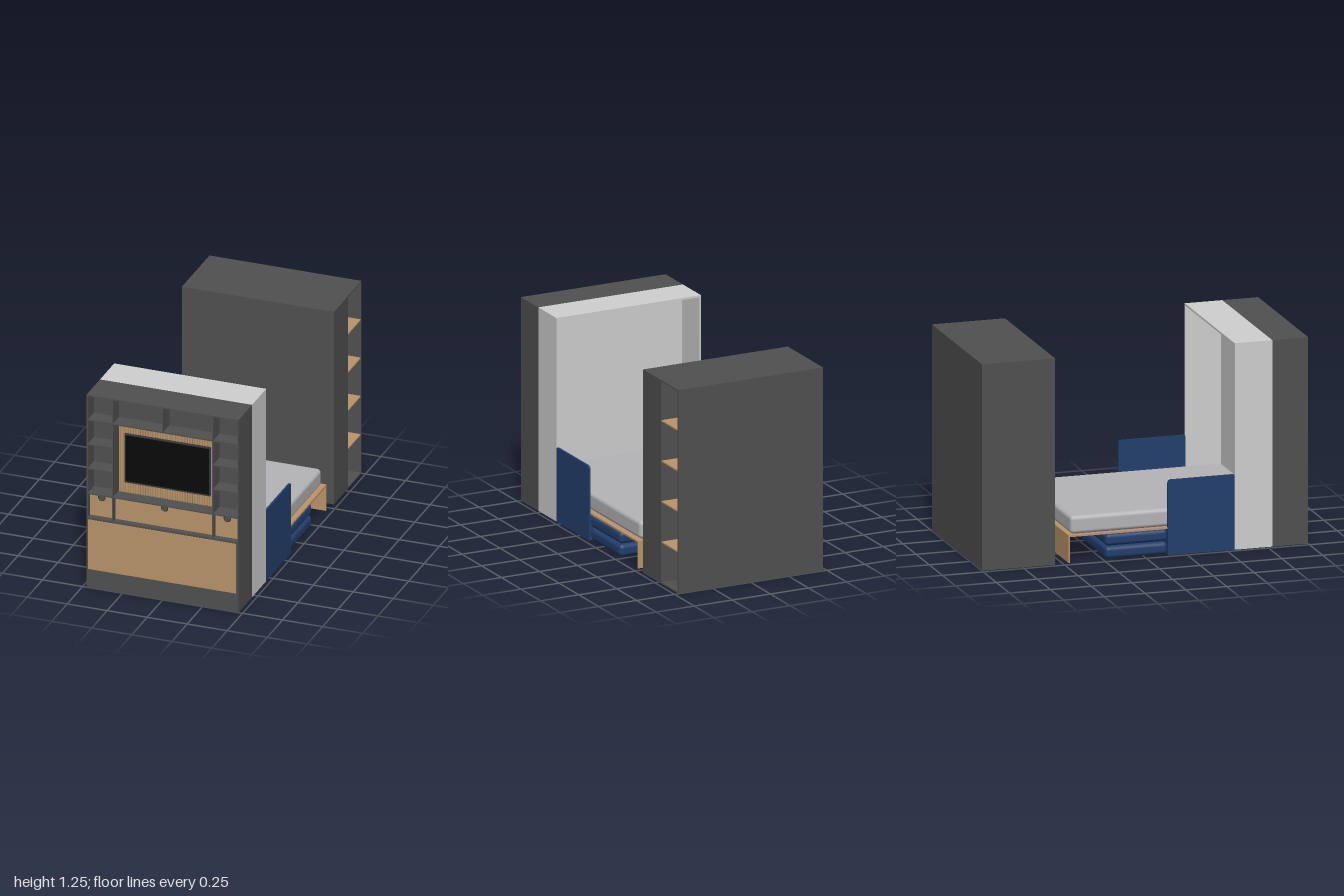
import * as THREE from 'three';
import { RoundedBoxGeometry } from 'three/addons/geometries/RoundedBoxGeometry.js';

const mat = (name, color) => Object.assign(new THREE.MeshStandardMaterial({ color }), { name });

export function createModel() {
  const charcoal = mat('charcoal', 0x505050);
  const paleGrey = mat('pale grey', 0xcfcfcf);
  const wood = mat('oak', 0xba946a);
  const blue = mat('navy fabric', 0x233f6d);
  const linen = mat('mattress grey', 0xb4b4b7);
  const screenBlack = mat('screen black', 0x0a0a0a);
  const frameGrey = mat('frame grey', 0x38393b);

  const model = new THREE.Group();
  const group = (name) => {
    const g = new THREE.Group();
    g.name = name;
    model.add(g);
    return g;
  };
  // Box given by its limits; a radius rounds its edges
  const box = (parent, name, material, [x0, x1], [y0, y1], [z0, z1], radius = 0) => {
    const size = [x1 - x0, y1 - y0, z1 - z0];
    const geo = radius ? new RoundedBoxGeometry(...size, 4, radius) : new THREE.BoxGeometry(...size);
    const mesh = new THREE.Mesh(geo, material);
    mesh.name = name;
    mesh.position.set((x0 + x1) / 2, (y0 + y1) / 2, (z0 + z1) / 2);
    parent.add(mesh);
    return mesh;
  };

  const W = 0.475, H = 1.247, T = 0.008;

  // Media wall: solid core with a grid of boards in front
  const wall = group('mediaWall');
  const backZ = 0.9, recess = [backZ, 1];
  box(wall, 'wallCore', charcoal, [-W, W], [0, H], [0.78, backZ]);
  box(wall, 'wallBase', charcoal, [-W, W], [0, 0.447], [backZ, 0.996]);
  box(wall, 'wallPlinth', charcoal, [-W, W], [0, 0.118], [0.996, 1]);
  box(wall, 'wallTop', charcoal, [-W, W], [H - T, H], recess);
  for (const s of [-1, 1]) {
    const span = (a, b) => (s > 0 ? [a, b] : [-b, -a]);
    box(wall, 'wallSide', charcoal, span(W - T, W), [0.118, H - T], recess);
    box(wall, 'wallDivider', charcoal, span(0.309, 0.317), [0.447, H - T], recess);
    for (const y of [0.77, 0.927])
      box(wall, 'sideShelf', charcoal, span(0.317, W - T), [y - 0.004, y + 0.004], recess);
  }
  for (const y of [0.451, 0.609, 1.084])
    box(wall, 'longShelf', charcoal, [-W + T, W - T], [y - 0.004, y + 0.004], recess);
  box(wall, 'topDivider', charcoal, [-0.004, 0.004], [1.088, H - T], recess);

  // Fold-down desk front
  box(wall, 'deskPanel', wood, [-0.465, 0.458], [0.12, 0.44], [0.99, 0.9995]);

  // Wooden niche backs with round spot lamps
  for (const [x, w] of [[-0.392, 0.15], [0, 0.618], [0.392, 0.15]]) {
    box(wall, 'nicheBack', wood, [x - w / 2, x + w / 2], [0.455, 0.605], [backZ, 0.962]);
    const lamp = new THREE.Mesh(new THREE.CylinderGeometry(0.02, 0.02, 0.008, 32), charcoal);
    lamp.name = 'spotLamp';
    lamp.rotation.x = Math.PI / 2;
    lamp.position.set(x, 0.58, 0.964);
    const rim = new THREE.Mesh(new THREE.TorusGeometry(0.02, 0.003, 8, 32), frameGrey);
    rim.name = 'spotLampRim';
    rim.position.set(x, 0.58, 0.967);
    wall.add(lamp, rim);
  }

  // Slatted panel behind the television
  box(wall, 'slatBacking', wood, [-0.309, 0.309], [0.613, 1.08], [backZ, 0.904]);
  const slats = 40, pitch = 0.618 / slats;
  for (let i = 0; i < slats; i++) {
    const x = -0.309 + (i + 0.5) * pitch;
    box(wall, 'slat', wood, [x - pitch * 0.34, x + pitch * 0.34], [0.613, 1.08], [0.904, 0.914]);
  }

  // Television
  const tv = group('television');
  const [l, r, b, t] = [-0.266, 0.27, 0.685, 0.998];
  const e = 0.007, tz = [0.912, 0.93];
  box(tv, 'screen', screenBlack, [l + e, r - e], [b + e, t - e], [0.912, 0.926]);
  for (const [x0, x1] of [[l, l + e], [r - e, r]]) box(tv, 'screenFrameSide', frameGrey, [x0, x1], [b, t], tz);
  for (const [y0, y1] of [[b, b + e], [t - e, t]]) box(tv, 'screenFrameRail', frameGrey, [l + e, r - e], [y0, y1], tz);

  // Pale bed housing, open towards the rear
  const shell = group('bedHousing');
  const depth = [0.55, 0.78];
  box(shell, 'housingBack', paleGrey, [-W, W], [0, H], [0.77, 0.78]);
  box(shell, 'housingTop', paleGrey, [-W, W], [H - 0.012, H], depth);
  box(shell, 'housingFloor', paleGrey, [-W, W], [0, 0.01], depth);
  for (const x of [-W, W - 0.01])
    box(shell, 'housingSide', paleGrey, [x, x + 0.01], [0.01, H - 0.012], depth);

  // Bed
  const bed = group('bed');
  box(bed, 'bedPlatform', wood, [-0.464, 0.462], [0.156, 0.167], [-0.465, 0.769]);
  box(bed, 'bedLegPanel', wood, [-0.464, 0.462], [0, 0.156], [-0.465, -0.455]);
  box(bed, 'mattress', linen, [-0.455, 0.44], [0.167, 0.277], [-0.448, 0.769], 0.025);

  // Sofa folded beneath the bed
  const sofa = group('sofa');
  box(sofa, 'sofaBase', blue, [-0.462, 0.462], [0.002, 0.154], [0.14, 0.56]);
  for (const y of [0.002, 0.08])
    box(sofa, 'seatCushion', blue, [-0.462, 0.462], [y, y + 0.074], [-0.237, 0.145], 0.025);
  // Arm outline runs along z and y, rounded at the free top corner
  const arm = new THREE.Shape();
  arm.moveTo(0.14, 0);
  arm.lineTo(0.55, 0);
  arm.lineTo(0.55, 0.445);
  arm.quadraticCurveTo(0.55, 0.455, 0.54, 0.455);
  arm.lineTo(0.162, 0.455);
  arm.quadraticCurveTo(0.14, 0.455, 0.14, 0.433);
  arm.closePath();
  const armGeo = new THREE.ExtrudeGeometry(arm, { depth: 0.012, bevelEnabled: false, curveSegments: 8 });
  armGeo.rotateY(-Math.PI / 2);
  for (const x of [-0.462, 0.474]) {
    const mesh = new THREE.Mesh(armGeo, blue);
    mesh.name = 'sofaArm';
    mesh.position.x = x;
    sofa.add(mesh);
  }

  // Rear wardrobe with open shelving on its left side
  const wardrobe = group('wardrobe');
  const inner = 0.355;
  box(wardrobe, 'wardrobeFront', charcoal, [-W, W], [0, H], [-0.78, -0.552]);
  box(wardrobe, 'wardrobeBody', charcoal, [-W, inner], [0, H], [-1, -0.78]);
  box(wardrobe, 'shelvingBack', charcoal, [inner, W], [0, H], [-1, -0.992]);
  box(wardrobe, 'shelvingTop', charcoal, [inner, W], [H - T, H], [-0.992, -0.78]);
  box(wardrobe, 'shelvingFloor', charcoal, [inner, W], [0, T], [-0.992, -0.78]);
  for (let i = 1; i <= 4; i++)
    box(wardrobe, 'wardrobeShelf', wood, [inner, W - 0.002], [i * 0.248 + 0.001, i * 0.248 + 0.009], [-0.992, -0.78]);

  return model;
}
